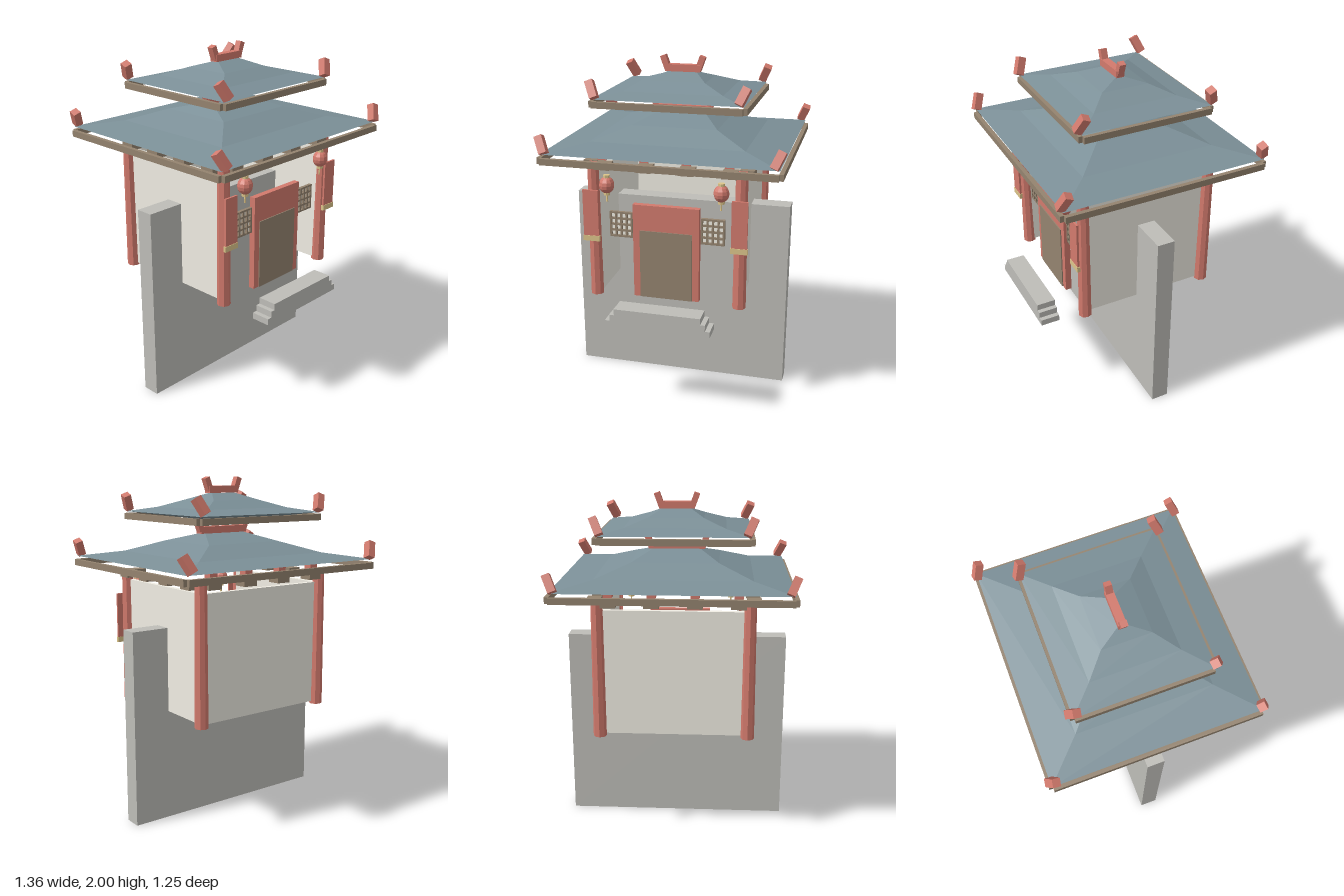
import * as THREE from 'three';

const mat = (color) => new THREE.MeshStandardMaterial({ color, flatShading: true });

export function createModel() {
  const model = new THREE.Group();
  const red = mat(0xd27a6d), wood = mat(0x94836f), tile = mat(0x7c9098);
  const plaster = mat(0xf0ede3), stone = mat(0xbebdb8), gold = mat(0xdcc48a);

  const add = (name, geometry, material, x, y, z, parent = model) => {
    const mesh = new THREE.Mesh(geometry, material);
    mesh.name = name;
    mesh.position.set(x, y, z);
    parent.add(mesh);
    return mesh;
  };
  const box = (name, material, w, h, d, x, y, z, parent) =>
    add(name, new THREE.BoxGeometry(w, h, d), material, x, y, z, parent);
  const group = (name) => {
    const g = new THREE.Group();
    g.name = name;
    model.add(g);
    return g;
  };
  const sides = [-1, 1];

  // Solid skinned over rectangular rings of [half width, half depth, height], bottom to top
  const ringSolid = (rings) => {
    const corners = [[1, 1], [1, -1], [-1, -1], [-1, 1]];
    const points = [], index = [];
    for (const [w, d, y] of rings) for (const [sx, sz] of corners) points.push(sx * w, y, sz * d);
    for (let i = 0; i < rings.length - 1; i++) {
      for (let k = 0; k < 4; k++) {
        const a = i * 4 + k, b = i * 4 + (k + 1) % 4;
        index.push(a, b, b + 4, a, b + 4, a + 4);
      }
    }
    const g = new THREE.BufferGeometry();
    g.setAttribute('position', new THREE.Float32BufferAttribute(points, 3));
    g.setIndex(index);
    const flat = g.toNonIndexed();
    flat.computeVertexNormals();
    return flat;
  };

  // Standing stone slab and floating front steps
  box('boundaryWall', stone, 1.306, 1.153, 0.104, 0, 0.5765, 0);
  const steps = group('frontSteps');
  [0.305, 0.277, 0.25].forEach((half, i) =>
    box('step', stone, half * 2, 0.037, 0.112, 0, 0.563 + i * 0.037, 0.557, steps));

  // Hall: back and side walls running between column centres, open at the front
  box('backWall', plaster, 0.85, 0.73, 0.03, 0, 1.023, -0.375);
  for (const s of sides) box('sideWall', plaster, 0.03, 0.73, 0.75, s * 0.41, 1.023, 0.01);
  box('altarTable', wood, 0.45, 0.22, 0.2, 0, 0.79, -0.21);

  // Corner columns
  for (const sx of sides) for (const sz of sides) {
    add('column', new THREE.CylinderGeometry(0.034, 0.039, 0.8, 8), red, sx * 0.425, 1.043, sz * 0.388);
  }

  // Door
  const doorway = group('doorway');
  box('doorFrame', red, 0.385, 0.56, 0.036, 0, 0.935, 0.386, doorway);
  box('doorLeaf', wood, 0.305, 0.408, 0.016, 0, 0.86, 0.402, doorway);

  for (const s of sides) {
    // Lattice window
    const win = group('latticeWindow');
    win.position.set(s * 0.267, 1.083, 0.38);
    box('windowPanel', plaster, 0.13, 0.14, 0.01, 0, 0, -0.008, win);
    for (let i = 0; i < 5; i++) {
      const t = i / 4 - 0.5;
      box('latticeUpright', wood, 0.011, 0.152, 0.02, t * 0.125, 0, 0, win);
      box('latticeRail', wood, 0.136, 0.011, 0.018, 0, t * 0.141, 0, win);
    }

    // Hanging banner with a gold hem
    box('banner', red, 0.09, 0.28, 0.012, s * 0.427, 1.155, 0.443);
    box('bannerHem', gold, 0.098, 0.032, 0.018, s * 0.427, 1.008, 0.443);

    // Lantern
    const lantern = group('lantern');
    lantern.position.set(s * 0.325, 1.335, 0.45);
    const bulb = add('lanternBulb', new THREE.SphereGeometry(0.044, 10, 8), red, 0, 0, 0, lantern);
    bulb.scale.y = 1.1;
    for (const v of sides) add('lanternCap', new THREE.CylinderGeometry(0.019, 0.019, 0.018, 8), gold, 0, v * 0.049, 0, lantern);
    add('lanternTassel', new THREE.CylinderGeometry(0.004, 0.006, 0.045, 6), gold, 0, -0.075, 0, lantern);
  }

  // Eave brackets: wooden blocks, with small red blocks above the front and back rows
  const brackets = group('eaveBrackets');
  for (const s of sides) for (const t of [-1, -1 / 3, 1 / 3, 1]) {
    box('bracketBlock', wood, 0.085, 0.037, 0.08, t * 0.36, 1.428, s * 0.39, brackets);
    box('bracketCap', red, 0.05, 0.034, 0.05, t * 0.36, 1.482, s * 0.39, brackets);
    box('bracketBlock', wood, 0.08, 0.037, 0.085, s * 0.447, 1.428, t * 0.325, brackets);
  }

  // One roof tier: tiles with a shallow inverted underside, eave frame, ridge and finials
  const roofTier = (o) => {
    const tier = group(o.name);
    add('tiles', ringSolid([[0, 0, o.under], ...o.rings, [0, 0, o.rings.at(-1)[2]]]), tile, 0, 0, 0, tier);
    const { w, d, y } = o.frame;
    for (const s of sides) {
      // beams stop short of each other, leaving a notch at the corners
      box('eaveBeam', wood, w * 2 - 0.044, 0.036, 0.024, 0, y, s * (d - 0.012), tier);
      box('eaveBeam', wood, 0.024, 0.036, d * 2 - 0.044, s * (w - 0.012), y, 0, tier);
    }
    const r = o.ridge;
    box('ridge', red, r.half * 2, 0.04, 0.046, 0, r.y, 0, tier);
    for (const s of sides) {
      const horn = box('ridgeHorn', red, 0.034, 0.08, 0.038, s * r.half, r.y + 0.03, 0, tier);
      horn.rotation.z = -s * 0.35;
      // finials lean outward sideways and inward front to back
      for (const q of sides) {
        const f = box('cornerFinial', red, 0.045, 0.1, 0.045, s * o.finial[0], o.finial[1], q * o.finial[2], tier);
        f.rotation.set(-q * 0.4, 0, -s * 0.4);
      }
    }
  };
  roofTier({
    name: 'lowerRoof', under: 1.45,
    rings: [[0.654, 0.597, 1.525], [0.44, 0.39, 1.56], [0.25, 0.22, 1.625], [0.14, 0.03, 1.673]],
    frame: { w: 0.672, d: 0.613, y: 1.488 },
    ridge: { half: 0.165, y: 1.693 }, finial: [0.642, 1.577, 0.585],
  });
  roofTier({
    name: 'upperRoof', under: 1.737,
    rings: [[0.426, 0.385, 1.795], [0.285, 0.25, 1.822], [0.16, 0.14, 1.866], [0.085, 0.02, 1.903]],
    frame: { w: 0.442, d: 0.4, y: 1.767 },
    ridge: { half: 0.103, y: 1.925 }, finial: [0.418, 1.85, 0.382],
  });

  return model;
}
